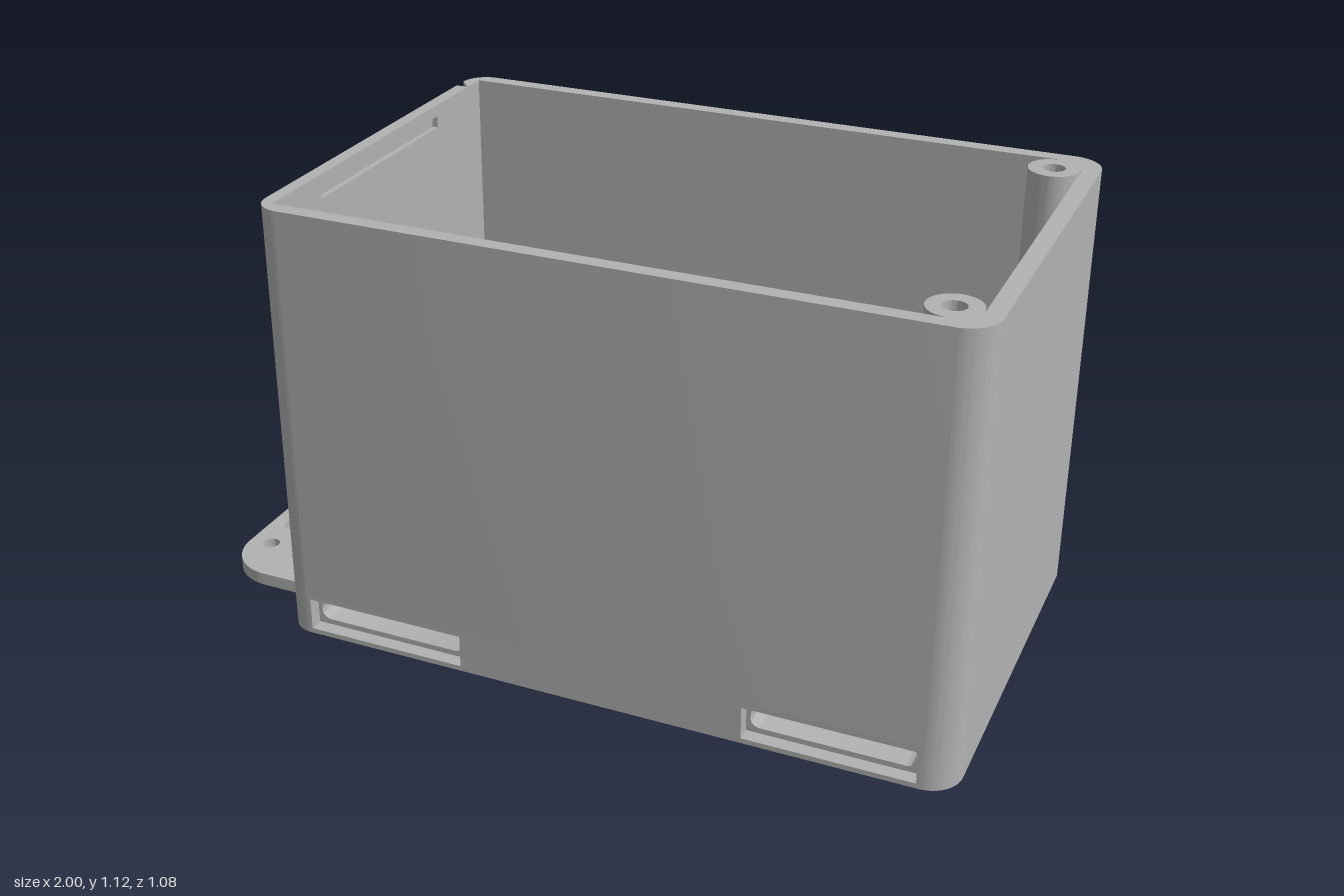
import * as THREE from 'three';
import { toCreasedNormals } from 'three/addons/utils/BufferGeometryUtils.js';

export function createModel() {
  const group = new THREE.Group();
  group.name = 'enclosure';
  const grey = new THREE.MeshStandardMaterial({ color: 0xb2b2b2 });
  grey.name = 'grey plastic';

  // Overall sizes
  const X0 = -0.71, X1 = 1, Z = 0.542, H = 1.12, FLOOR = 0.11;
  const IX0 = -0.677, IX1 = 0.957, IZ = 0.503, GAP = 0.44;
  const RL = 0.065, RR = 0.08;

  // Rounded rectangle with radii for its low-x and high-x corners
  function rect(Type, x0, y0, x1, y1, r0 = 0, r1 = r0) {
    const p = new Type();
    const q = Math.PI / 2;
    const corner = (x, y, r, a) => (r ? p.absarc(x, y, r, a, a + q, false) : p.lineTo(x, y));
    p.moveTo(x0 + r0, y0);
    corner(x1 - r1, y0 + r1, r1, -q);
    corner(x1 - r1, y1 - r1, r1, 0);
    corner(x0 + r0, y1 - r0, r0, q);
    corner(x0 + r0, y0 + r0, r0, 2 * q);
    return p;
  }
  const circle = (Type, x, y, r) => new Type().absarc(x, y, r, 0, Math.PI * 2, false);

  function extrude(shape, depth) {
    return new THREE.ExtrudeGeometry(shape, { depth, bevelEnabled: false, curveSegments: 16 });
  }
  function add(name, geometry) {
    const mesh = new THREE.Mesh(toCreasedNormals(geometry, 0.6), grey);
    mesh.name = name;
    group.add(mesh);
  }
  // Extrude along y (shape in x, z), z (shape in x, y) or x (shape in z, y)
  const alongY = (name, s, y0, y1) =>
    add(name, extrude(s, y1 - y0).rotateX(Math.PI / 2).translate(0, y1, 0));
  const alongZ = (name, s, z0, z1) => add(name, extrude(s, z1 - z0).translate(0, 0, z0));
  const alongX = (name, s, x0, x1) =>
    add(name, extrude(s, x1 - x0).rotateY(-Math.PI / 2).translate(x1, 0, 0));

  // Thick floor: rounded ends, with strap tunnels through the middle
  const M0 = X0 + RL, M1 = X1 - RR;
  alongY('floorRightEnd', rect(THREE.Shape, X0, -Z, M0, Z, RL, 0), 0, FLOOR);
  alongY('floorLeftEnd', rect(THREE.Shape, M1, -Z, X1, Z, 0, RR), 0, FLOOR);
  const slots = [[-0.638, -0.222], [0.5, 0.914]];
  const mouth = rect(THREE.Shape, M0, 0, M1, FLOOR);
  const core = rect(THREE.Shape, M0, 0, M1, FLOOR);
  for (const [a, b] of slots) {
    mouth.holes.push(rect(THREE.Path, a, 0.013, b, 0.097));
    core.holes.push(rect(THREE.Path, a + 0.01, 0.027, b - 0.01, 0.082, 0.024));
  }
  alongZ('floorFront', mouth, Z - 0.035, Z);
  alongZ('floorCore', core, -Z + 0.035, Z - 0.035);
  alongZ('floorBack', mouth, -Z, -Z + 0.035);

  // Walls on three sides, open where the end panel fits
  const q = Math.PI / 2;
  const walls = new THREE.Shape();
  walls.moveTo(X0, -GAP);
  walls.absarc(X0 + RL, -Z + RL, RL, 2 * q, 3 * q, false);
  walls.absarc(X1 - RR, -Z + RR, RR, -q, 0, false);
  walls.absarc(X1 - RR, Z - RR, RR, 0, q, false);
  walls.absarc(X0 + RL, Z - RL, RL, q, 2 * q, false);
  for (const [x, z] of [[X0, GAP], [IX0, GAP], [IX0, IZ], [IX1, IZ], [IX1, -IZ], [IX0, -IZ], [IX0, -GAP]])
    walls.lineTo(x, z);
  alongY('walls', walls, FLOOR, H);

  // End panel: outer skin with a window, inner skin with recess and lid groove
  const outer = rect(THREE.Shape, -GAP, FLOOR, GAP, H);
  outer.holes.push(rect(THREE.Path, -0.37, 0.13, -0.07, 0.33, 0.035));
  alongX('endPanelOuter', outer, X0, X0 + 0.018);
  const inner = rect(THREE.Shape, -GAP, FLOOR, GAP, H);
  inner.holes.push(rect(THREE.Path, -0.37, 0.13, -0.07, 0.33, 0.035));
  inner.holes.push(rect(THREE.Path, -0.27, 1.06, 0.3, 1.09));
  alongX('endPanelInner', inner, X0 + 0.018, IX0);

  // Ledges and corner screw posts, mirrored front to back
  for (const s of [-1, 1]) {
    const z0 = Math.min(s * 0.48, s * IZ), z1 = Math.max(s * 0.48, s * IZ);
    alongY('ledge', rect(THREE.Shape, IX0, z0, 0.88, z1), FLOOR, 0.65);

    const cx = 0.893, cz = 0.44, r = 0.062;
    const post = new THREE.Shape();
    post.moveTo(cx + 0.068, s * (cz - 0.01));
    post.lineTo(cx + 0.068, s * (cz + 0.066));
    post.lineTo(cx - 0.01, s * (cz + 0.066));
    post.absarc(cx, s * cz, r, s * q, 0, s < 0 ? true : false);
    post.holes.push(circle(THREE.Path, cx, s * cz, 0.027));
    alongY('screwPost', post, FLOOR, H);
  }

  // Board standoffs on the floor
  for (const [x, z] of [[-0.365, -0.43], [-0.387, 0.42], [0.53, -0.16], [0.53, 0.33]]) {
    const standoff = circle(THREE.Shape, x, z, 0.052);
    standoff.holes.push(circle(THREE.Path, x, z, 0.026));
    alongY('standoff', standoff, FLOOR, FLOOR + 0.06);
  }

  // Mounting flange with a row of holes and two strap slots
  const flange = rect(THREE.Shape, -1, -0.405, X0 + 0.01, 0.4, 0.13, 0);
  for (let i = 0; i < 6; i++)
    flange.holes.push(circle(THREE.Path, -0.94, -0.268 + i * 0.1055, 0.022));
  for (const z of [-0.368, -0.085])
    flange.holes.push(rect(THREE.Path, -0.902, z, -0.8, z + 0.046));
  alongY('flange', flange, 0, 0.033);

  // Sloped brace between flange and wall
  const brace = new THREE.Shape();
  brace.moveTo(-0.772, 0.03);
  brace.lineTo(X0 + 0.005, 0.03);
  brace.lineTo(X0 + 0.005, 0.095);
  brace.lineTo(X0, 0.092);
  alongZ('brace', brace, -0.39, 0.385);

  return group;
}
